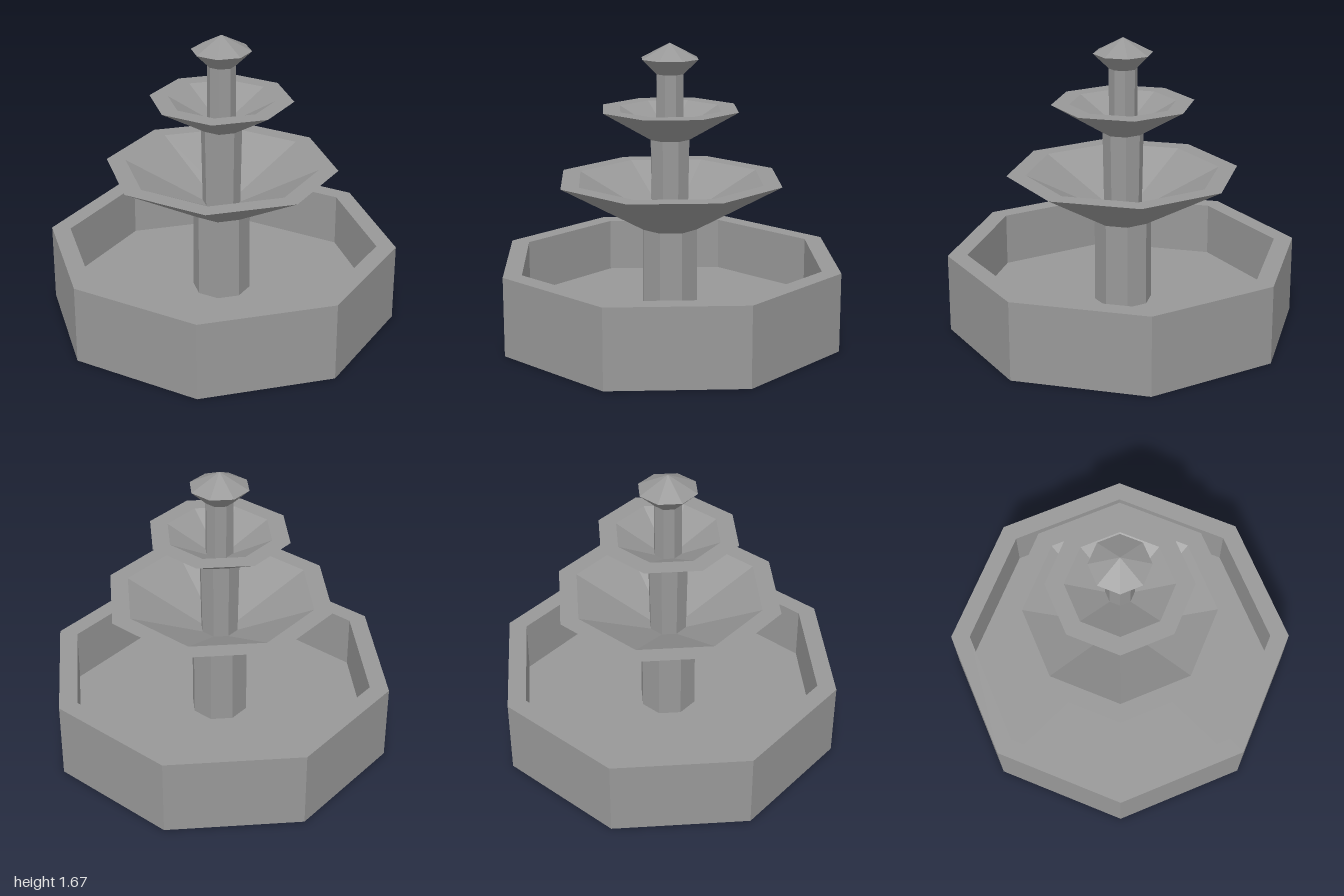
import * as THREE from 'three';

const SIDES = 8;

export function createModel() {
  const group = new THREE.Group();
  group.name = 'fountain';
  const material = new THREE.MeshStandardMaterial({ color: 0x989898, flatShading: true });

  // Octagonal solid turned from a [radius, height] profile, corners on the axes
  function turned(name, profile) {
    const points = profile.map(([r, y]) => new THREE.Vector2(r, y));
    const mesh = new THREE.Mesh(new THREE.LatheGeometry(points, SIDES), material);
    mesh.name = name;
    group.add(mesh);
  }

  // Slightly tapered octagonal column between two heights
  function column(name, rBottom, rTop, y0, y1) {
    turned(name, [[0, y0], [rBottom, y0], [rTop, y1], [0, y1]]);
  }

  // Flared bowl with a flat rim and a sloping inside
  function bowl(name, rFoot, rRim, rInner, rWell, y0, y1, yWell) {
    turned(name, [[0, y0], [rFoot, y0], [rRim, y1], [rInner, y1], [rWell, yWell], [0, yWell]]);
  }

  // Ground basin with thick wall and raised floor
  turned('basin', [[0, 0], [1, 0], [1, 0.45], [0.89, 0.45], [0.89, 0.14], [0, 0.14]]);

  // Stacked columns and bowls
  column('lowerColumn', 0.165, 0.163, 0.13, 0.64);
  bowl('lowerBowl', 0.163, 0.658, 0.55, 0.1, 0.625, 0.907, 0.68);
  column('middleColumn', 0.108, 0.116, 0.67, 1.14);
  bowl('upperBowl', 0.113, 0.403, 0.3, 0.07, 1.135, 1.307, 1.18);
  column('upperColumn', 0.08, 0.08, 1.17, 1.51);

  // Diamond-shaped top
  turned('finial', [[0, 1.503], [0.08, 1.503], [0.168, 1.588], [0, 1.675]]);

  return group;
}
